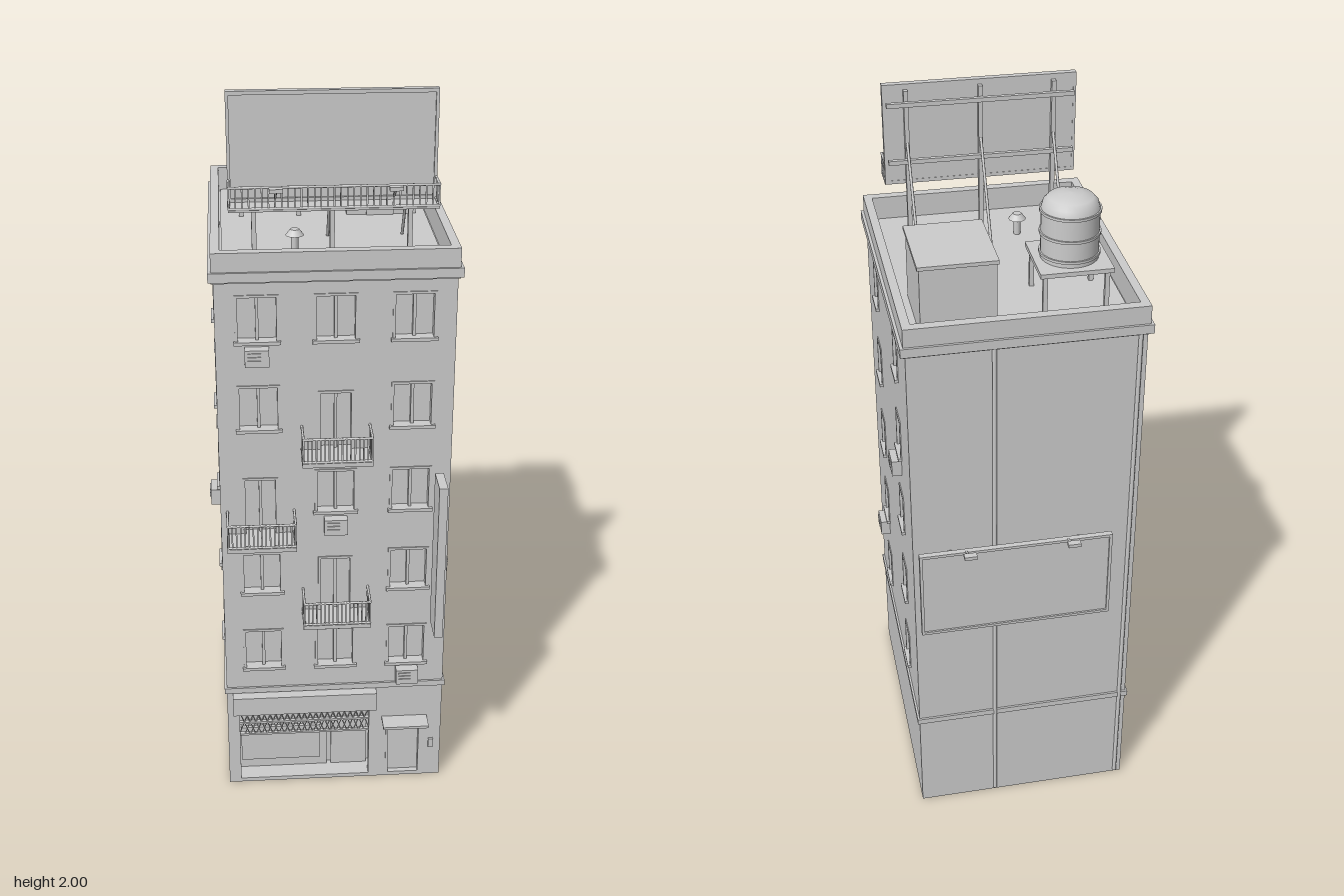
import * as THREE from 'three';

const wallGrey = new THREE.MeshStandardMaterial({ color: 0xcccccc });

// Half width, half depth and facade thickness of the building
const W = 0.307, D = 0.387, T = 0.022, ROOF = 1.565;
const rowBottom = (i) => 1.388 - 0.2475 * i;

function add(parent, name, geometry) {
  const mesh = new THREE.Mesh(geometry, wallGrey);
  mesh.name = name;
  parent.add(mesh);
  return mesh;
}

// Box given by its limits on each axis
function box(parent, name, x0, x1, y0, y1, z0, z1) {
  const mesh = add(parent, name, new THREE.BoxGeometry(x1 - x0, y1 - y0, z1 - z0));
  mesh.position.set((x0 + x1) / 2, (y0 + y1) / 2, (z0 + z1) / 2);
  return mesh;
}

// Round bar between two points
function rod(parent, name, a, b, r = 0.004) {
  const p = new THREE.Vector3(...a), q = new THREE.Vector3(...b);
  const mesh = add(parent, name, new THREE.CylinderGeometry(r, r, p.distanceTo(q), 8));
  mesh.position.copy(p).lerp(q, 0.5);
  mesh.quaternion.setFromUnitVectors(new THREE.Vector3(0, 1, 0), q.sub(p).normalize());
  return mesh;
}

function rect(Type, x0, x1, y0, y1) {
  const s = new Type();
  s.moveTo(x0, y0); s.lineTo(x1, y0); s.lineTo(x1, y1); s.lineTo(x0, y1); s.closePath();
  return s;
}

// Wall panel with openings [x0, x1, y0, y1]
function facade(parent, name, half, top, z, openings) {
  const s = rect(THREE.Shape, -half, half, 0, top);
  openings.forEach((o) => s.holes.push(rect(THREE.Path, ...o)));
  add(parent, name, new THREE.ExtrudeGeometry(s, { depth: T, bevelEnabled: false })).position.z = z - T;
}

// Flat ring around the building
function ring(parent, name, x, z, inX, inZ, y0, y1) {
  const s = rect(THREE.Shape, -x, x, -z, z);
  s.holes.push(rect(THREE.Path, -inX, inX, -inZ, inZ));
  const g = new THREE.ExtrudeGeometry(s, { depth: y1 - y0, bevelEnabled: false }).rotateX(-Math.PI / 2);
  add(parent, name, g).position.y = y0;
}

// Frame inside an opening, with optional mullion and sill
function windowFrame(parent, [x0, x1, y0, y1], z, mullion, sill) {
  const g = new THREE.Group(), b = 0.007, m = (x0 + x1) / 2;
  g.name = 'window';
  box(g, 'frameLeft', x0, x0 + b, y0, y1, z - T, z + 0.003);
  box(g, 'frameRight', x1 - b, x1, y0, y1, z - T, z + 0.003);
  box(g, 'frameTop', x0, x1, y1 - b, y1, z - T, z + 0.003);
  if (mullion) box(g, 'mullion', m - 0.004, m + 0.004, y0, y1, z - T, z - 0.008);
  if (sill) box(g, 'sill', x0 - 0.004, x1 + 0.004, y0 - 0.003, y0 + 0.006, z - T, z + 0.01);
  parent.add(g);
}

function airConditioner(parent, x, y, z) {
  const g = new THREE.Group();
  g.name = 'airConditioner';
  box(g, 'unit', x - 0.031, x + 0.031, y - 0.023, y + 0.023, z, z + 0.027);
  for (const dy of [-0.008, 0.002, 0.012]) box(g, 'vent', x - 0.024, x + 0.01, y + dy, y + dy + 0.004, z + 0.027, z + 0.03);
  parent.add(g);
}

// Railing of upright bars between two points, with rails at top and bottom
function railing(parent, [x0, z0], [x1, z1], y0, y1, n) {
  for (let i = 0; i <= n; i++) {
    const x = x0 + (x1 - x0) * i / n, z = z0 + (z1 - z0) * i / n;
    box(parent, 'railBar', x - 0.002, x + 0.002, y0, y1, z - 0.002, z + 0.002);
  }
  for (const y of [y0 + 0.003, y1 - 0.003]) rod(parent, 'rail', [x0, y, z0], [x1, y, z1], 0.0035);
}

function balcony(parent, x, y) {
  const g = new THREE.Group(), h = 0.089, z = D + 0.081;
  g.name = 'balcony';
  box(g, 'slab', x - h - 0.003, x + h + 0.003, y, y + 0.012, D, z + 0.003);
  railing(g, [x - h, z], [x + h, z], y + 0.012, y + 0.083, 16);
  for (const s of [-h, h]) railing(g, [x + s, D], [x + s, z], y + 0.012, y + 0.083, 6);
  parent.add(g);
}

// Lamp on an arm, from a to b
function lamp(parent, a, b) {
  rod(parent, 'lampArm', a, b, 0.003);
  const [x, y, z] = b;
  box(parent, 'lampHead', x - 0.017, x + 0.017, y - 0.004, y + 0.006, z - 0.009, z + 0.009);
}

function buildFront(parent) {
  const g = new THREE.Group();
  g.name = 'front';
  const shop = [-0.28, 0.105, 0.012, 0.25], door = [0.148, 0.25, 0.012, 0.193], holes = [shop, door];
  const balconies = { '1,1': 1, '2,0': 1, '3,1': 1 };
  for (let i = 0; i < 5; i++) {
    [-0.2, 0, 0.2].forEach((x, c) => {
      const b = rowBottom(i), out = balconies[`${i},${c}`];
      const o = out ? [x - 0.047, x + 0.047, b - 0.058, b + 0.11] : [x - 0.056, x + 0.056, b, b + 0.13];
      holes.push(o);
      windowFrame(g, o, D, true, !out);
      if (out) balcony(g, x, b - 0.07);
    });
  }
  facade(g, 'frontWall', W, 1.56, D, holes);
  for (const [x, y] of [[-0.202, 1.355], [0, 0.858], [0.202, 0.365]]) airConditioner(g, x, y, D);

  // Shop front
  windowFrame(g, shop, D, false, false);
  box(g, 'shopSign', -0.29, 0.117, 0.257, 0.315, D, 0.417);
  box(g, 'shopWindow', -0.27, -0.04, 0.045, 0.16, 0.33, 0.345);
  box(g, 'shopWall', -0.28, -0.02, 0.012, 0.2, 0.32, 0.335);
  box(g, 'shopDoor', -0.008, 0.095, 0.012, 0.2, 0.32, 0.335);
  box(g, 'shutterBox', -0.28, 0.105, 0.2, 0.25, 0.345, 0.37);
  // Lattice shutter
  for (let i = 0; i < 22; i++) {
    const x = -0.275 + i * 0.0165;
    rod(g, 'lattice', [x, 0.163, 0.374], [x + 0.03, 0.243, 0.374], 0.0015);
    rod(g, 'lattice', [x + 0.03, 0.163, 0.376], [x, 0.243, 0.376], 0.0015);
  }
  for (const y of [0.163, 0.203]) box(g, 'shutterRail', -0.28, 0.105, y - 0.003, y + 0.003, 0.37, 0.38);

  // House door, canopy and bell
  windowFrame(g, door, D, false, false);
  box(g, 'doorPanel', 0.155, 0.243, 0.012, 0.185, 0.36, 0.372);
  box(g, 'doorCanopy', 0.135, 0.265, 0.205, 0.213, D, 0.441);
  box(g, 'doorBell', 0.272, 0.286, 0.1, 0.13, D, 0.394);

  // Projecting upright sign
  box(g, 'uprightSign', 0.263, 0.286, 0.548, 1.008, 0.403, 0.491);
  for (const y of [0.62, 0.94]) box(g, 'signBracket', 0.27, 0.28, y - 0.008, y + 0.008, D, 0.404);
  parent.add(g);
}

function buildSide(parent, name, turn, units) {
  const g = new THREE.Group(), holes = [];
  g.name = name;
  g.rotation.y = turn * Math.PI / 2;
  for (let i = 0; i < 5; i++) for (const x of [-0.192, 0.192]) {
    const o = [x - 0.038, x + 0.038, rowBottom(i), rowBottom(i) + 0.12];
    holes.push(o);
    windowFrame(g, o, W, false, true);
  }
  facade(g, 'sideWall', D - T, 1.56, W, holes);
  units.forEach(([x, y]) => airConditioner(g, x, y, W));
  parent.add(g);
}

function buildBack(parent) {
  const g = new THREE.Group();
  g.name = 'back';
  box(g, 'backWall', -W, W, 0, 1.56, -D, -D + T);
  for (const x of [0.085, -0.288]) rod(g, 'drainPipe', [x, 0.01, -D - 0.003], [x, 1.555, -D - 0.003], 0.006);
  // Wall billboard
  box(g, 'wallBillboard', -0.232, 0.295, 0.686, 0.957, -0.421, -0.41);
  for (const y of [0.686, 0.949]) box(g, 'boardEdge', -0.232, 0.295, y, y + 0.008, -0.426, -0.42);
  for (const x of [-0.232, 0.287]) box(g, 'boardEdge', x, x + 0.008, 0.686, 0.957, -0.426, -0.42);
  for (const x of [-0.148, 0.208]) box(g, 'boardBracket', x - 0.005, x + 0.005, 0.7, 0.94, -0.411, -D);
  for (const x of [-0.11, 0.168]) lamp(g, [x, 0.952, -0.415], [x, 0.988, -0.486]);
  parent.add(g);
}

function buildRoofBillboard(parent) {
  const g = new THREE.Group();
  g.name = 'roofBillboard';
  box(g, 'panel', -0.264, 0.262, 1.72, 2, 0.25, 0.262);
  for (const y of [1.72, 1.99]) box(g, 'panelEdge', -0.264, 0.262, y, y + 0.01, 0.249, 0.268);
  for (const x of [-0.264, 0.254]) box(g, 'panelEdge', x, x + 0.008, 1.72, 2, 0.249, 0.268);
  for (const y of [1.785, 1.945]) box(g, 'backRail', -0.254, 0.254, y, y + 0.012, 0.223, 0.235);
  for (const x of [-0.2, 0, 0.2]) {
    box(g, 'post', x - 0.006, x + 0.006, ROOF, 1.985, 0.235, 0.25);
    rod(g, 'strut', [x, 1.84, 0.236], [x, ROOF, 0.077]);
  }
  box(g, 'catwalk', -0.264, 0.262, 1.715, 1.721, 0.262, 0.334);
  railing(g, [-0.262, 0.332], [0.26, 0.332], 1.72, 1.78, 32);
  for (const x of [-0.262, 0.26]) railing(g, [x, 0.266], [x, 0.332], 1.72, 1.78, 3);
  for (const x of [-0.147, 0.147]) lamp(g, [x, 1.75, 0.332], [x, 1.782, 0.379]);
  parent.add(g);
}

function buildRoof(parent) {
  const g = new THREE.Group();
  g.name = 'roof';
  ring(g, 'parapet', 0.312, 0.391, 0.289, 0.365, 1.55, 1.63);
  ring(g, 'cornice', 0.32, 0.398, 0.3, 0.38, 1.555, 1.58);
  // Stair hut
  box(g, 'hut', 0.065, 0.258, ROOF, 1.75, -0.323, -0.099);
  box(g, 'hutRoof', 0.06, 0.263, 1.75, 1.76, -0.328, -0.094);
  box(g, 'hutDoor', 0.12, 0.195, ROOF, 1.71, -0.099, -0.093);
  box(g, 'hutLamp', 0.152, 0.163, 1.718, 1.73, -0.099, -0.086);
  // Water tank on its stand
  const x = -0.148, z = -0.187;
  box(g, 'tankPlatform', x - 0.095, x + 0.095, 1.673, 1.685, z - 0.095, z + 0.095);
  for (const sx of [-0.08, 0.08]) for (const sz of [-0.08, 0.08])
    box(g, 'tankLeg', x + sx - 0.006, x + sx + 0.006, ROOF, 1.673, z + sz - 0.006, z + sz + 0.006);
  const profile = [[0, 1.685], [0.075, 1.685], [0.075, 1.685], [0.075, 1.818], [0.075, 1.818], [0.07, 1.835], [0.058, 1.848], [0.03, 1.857], [0, 1.859]];
  add(g, 'waterTank', new THREE.LatheGeometry(profile.map((p) => new THREE.Vector2(...p)), 32)).position.set(x, 0, z);
  for (const y of [1.7, 1.755, 1.815]) {
    const band = add(g, 'tankBand', new THREE.CylinderGeometry(0.079, 0.079, 0.007, 32));
    band.position.set(x, y, z);
  }
  // Mushroom vent
  rod(g, 'ventPipe', [-0.094, ROOF, 0.2], [-0.094, 1.61, 0.2], 0.01);
  add(g, 'ventCap', new THREE.CylinderGeometry(0.012, 0.024, 0.016, 20)).position.set(-0.094, 1.618, 0.2);
  parent.add(g);
}

export function createModel() {
  const model = new THREE.Group();
  model.name = 'apartmentBuilding';
  const cx = W - T, cz = D - T;
  box(model, 'core', -cx, cx, 0.26, ROOF, -cz, cz);
  box(model, 'groundCore', -cx, cx, 0, 0.26, -cz, 0.322);
  box(model, 'doorWall', 0.11, cx, 0, 0.26, 0.32, cz);
  box(model, 'shopFloor', -cx, cx, 0, 0.012, 0.32, cz);
  ring(model, 'floorBand', 0.313, 0.393, 0.3, 0.38, 0.318, 0.335);
  buildFront(model);
  buildSide(model, 'rightSide', 1, [[0.19, 1.107], [-0.195, 0.617]]);
  buildSide(model, 'leftSide', -1, [[0.193, 0.86]]);
  buildBack(model);
  buildRoof(model);
  buildRoofBillboard(model);
  return model;
}
